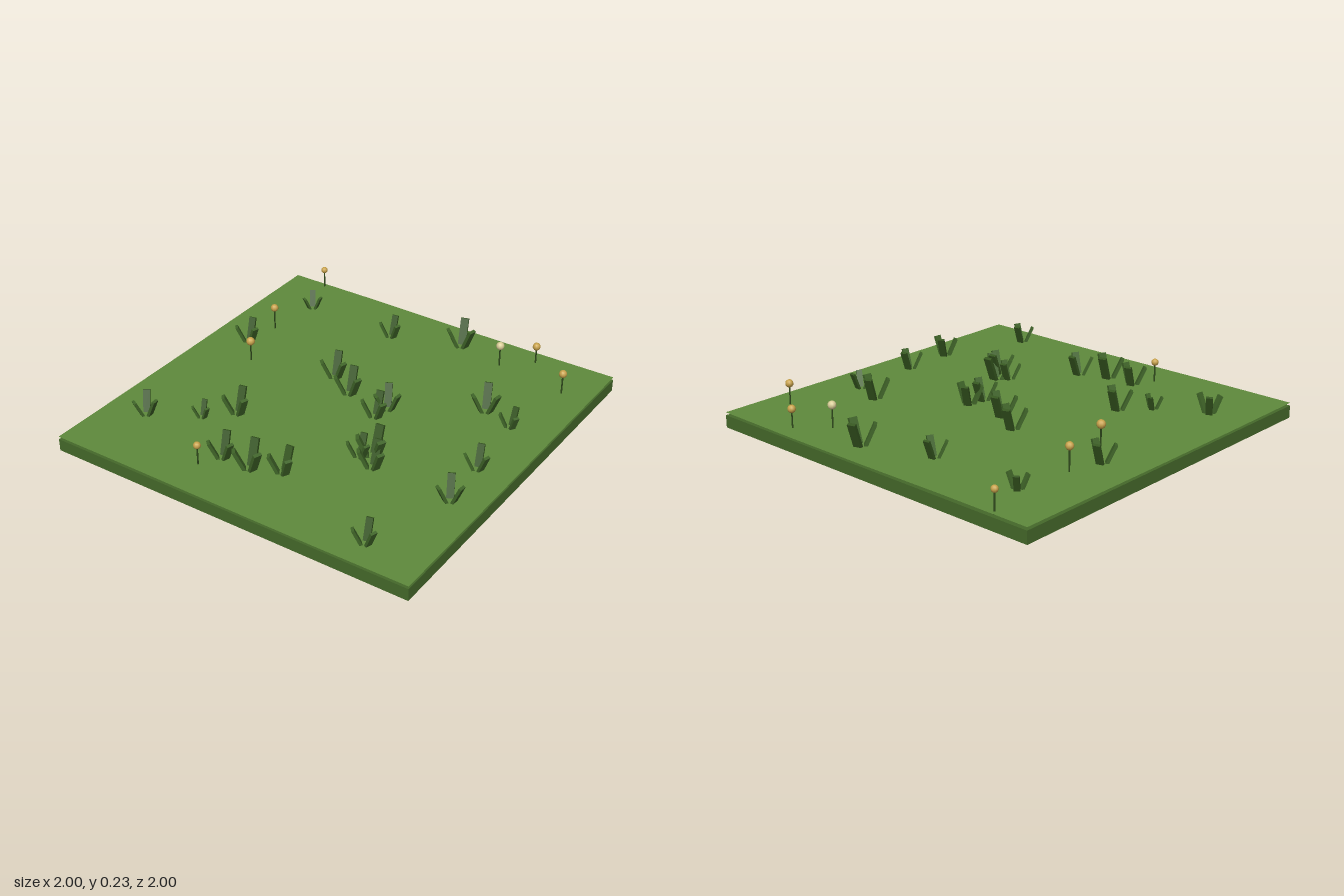
import * as THREE from 'three';

const material = (color, extra = {}) => new THREE.MeshStandardMaterial({ color, ...extra });

const SLAB_TOP = 0.065;

// x, z, blade height, turn in degrees
const TUFTS = [
  [-0.71, -0.735, 0.1, -4], [-0.79, -0.25, 0.125, 17], [-0.18, -0.715, 0.115, 22],
  [0.185, -0.84, 0.145, 13], [-0.2, -0.205, 0.135, 15], [-0.05, -0.115, 0.14, 18],
  [0.19, -0.1, 0.13, 4], [0.175, -0.01, 0.13, 21], [0.605, -0.36, 0.14, 9],
  [0.775, -0.3, 0.105, 32], [0.815, 0.095, 0.12, 17], [0.835, 0.38, 0.125, 4],
  [0.35, 0.28, 0.15, 25], [0.3, 0.32, 0.115, 20], [0.4, 0.36, 0.135, 23],
  [-0.41, 0.345, 0.135, 20], [-0.535, 0.47, 0.09, 13], [-0.78, 0.605, 0.12, -3],
  [-0.235, 0.69, 0.13, 15], [-0.075, 0.69, 0.145, 19], [0.075, 0.63, 0.13, 28],
  [0.685, 0.855, 0.115, 18],
];

// x, z, height of the head's centre, head radius
const FLOWERS = [
  [-0.795, -0.975, 0.185, 0.018], [0.595, -0.91, 0.175, 0.021], [0.45, -0.78, 0.195, 0.022],
  [0.845, -0.715, 0.195, 0.021], [-0.75, -0.435, 0.205, 0.021], [-0.66, -0.1, 0.19, 0.023],
  [-0.295, 0.8, 0.187, 0.019],
];

// Coarse, almost flat turf sheet that hovers just above the slab
function makeTurf() {
  const geometry = new THREE.PlaneGeometry(2, 2, 4, 4).rotateX(-Math.PI / 2);
  const pos = geometry.attributes.position;
  for (let i = 0; i < pos.count; i++) {
    const x = pos.getX(i), z = pos.getZ(i);
    pos.setY(i, 0.079 + 0.003 * Math.sin(x * 3.1 + 0.6) * Math.cos(z * 2.7 - 0.4));
  }
  geometry.computeVertexNormals();
  const turf = new THREE.Mesh(geometry, material(0x5f8a3c, { flatShading: true }));
  turf.name = 'turf';
  return turf;
}

// Three flat blades around a point, each leaning outward
function makeTuft([x, z, height, turn], bladeMaterials) {
  const tuft = new THREE.Group();
  tuft.name = 'grassTuft';
  tuft.position.set(x, SLAB_TOP, z);
  const leans = [0.4, 0.42, 0.38];
  const lengths = [0.97, 0.9, 1.05];
  for (let i = 0; i < 3; i++) {
    const length = height * lengths[i];
    const geometry = new THREE.BoxGeometry(height * 0.12, length, height * 0.29);
    geometry.translate(0, length / 2, 0).rotateZ(-leans[i]).translate(height * 0.13, 0, 0);
    const blade = new THREE.Mesh(geometry, bladeMaterials[i]);
    blade.name = 'blade';
    blade.rotation.y = -THREE.MathUtils.degToRad(turn + i * 120);
    tuft.add(blade);
  }
  return tuft;
}

// Thin stem with a round head
function makeFlower([x, z, y, radius], stemMaterial, headMaterial) {
  const flower = new THREE.Group();
  flower.name = 'flower';
  flower.position.set(x, 0, z);
  const stemLength = y - SLAB_TOP;
  const stem = new THREE.Mesh(new THREE.CylinderGeometry(0.004, 0.004, stemLength, 6), stemMaterial);
  stem.name = 'stem';
  stem.position.y = SLAB_TOP + stemLength / 2;
  const head = new THREE.Mesh(new THREE.SphereGeometry(radius, 10, 8), headMaterial);
  head.name = 'flowerHead';
  head.position.y = y;
  flower.add(stem, head);
  return flower;
}

export function createModel() {
  const model = new THREE.Group();
  model.name = 'meadowTile';

  // Ground slab
  const slab = new THREE.Mesh(new THREE.BoxGeometry(2, SLAB_TOP, 2), material(0x45692a));
  slab.name = 'slab';
  slab.position.y = SLAB_TOP / 2;
  model.add(slab, makeTurf());

  // Grass
  const bladeMaterials = [0x3f6428, 0x3f6428, 0x35561f].map((c) => material(c));
  for (const tuft of TUFTS) model.add(makeTuft(tuft, bladeMaterials));

  // Flowers, one of them paler
  const stemMaterial = material(0x2f4a1c);
  const gold = material(0xc8a24a), pale = material(0xd8cc96);
  FLOWERS.forEach((f, i) => model.add(makeFlower(f, stemMaterial, i === 2 ? pale : gold)));

  return model;
}
